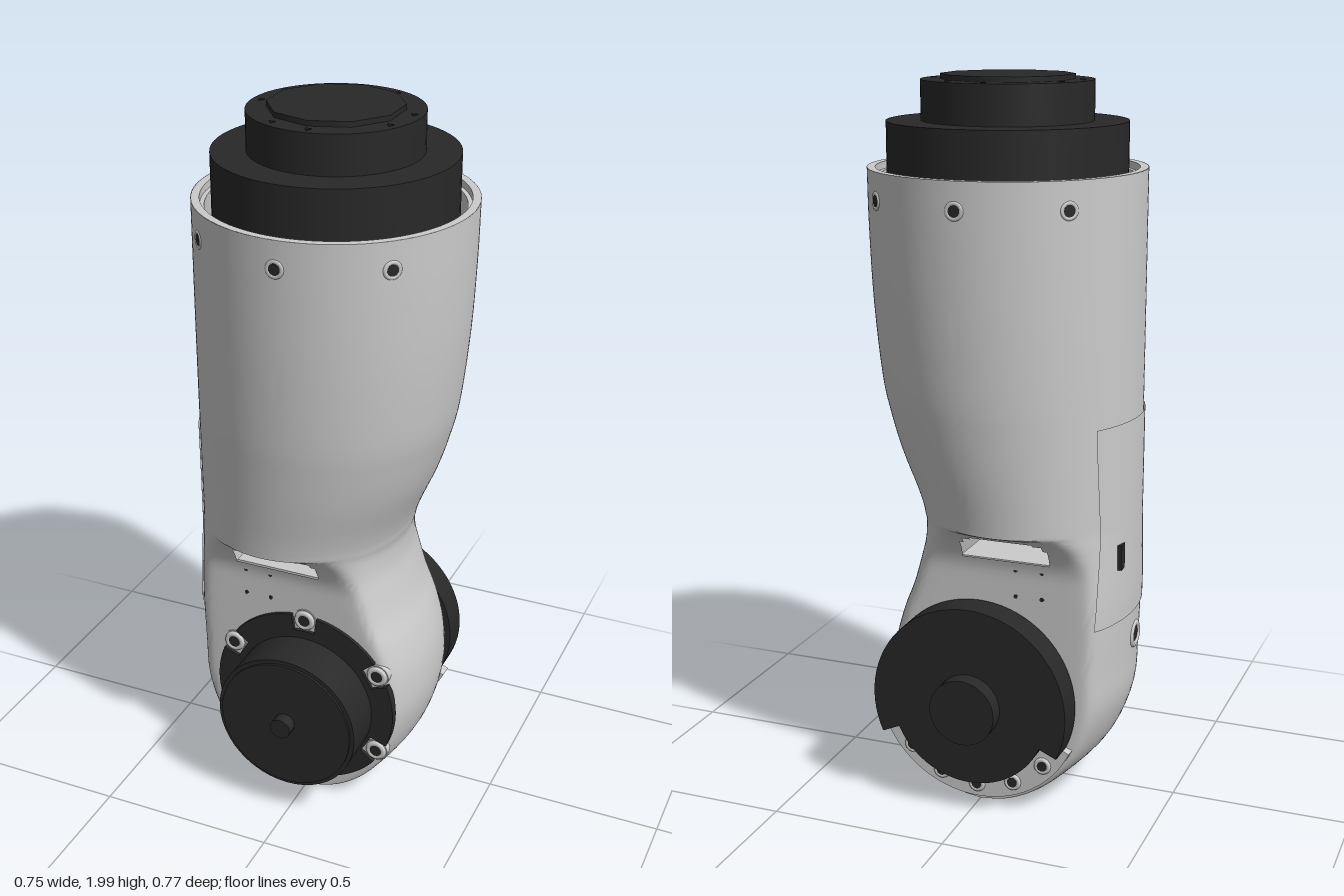
import * as THREE from 'three';
import { toCreasedNormals } from 'three/addons/utils/BufferGeometryUtils.js';

const ZC = -0.006;   // depth centre of the casing
const PY = 0.328;    // height of the pivot axis

// Casing sections: height, right edge, left edge, half depth
const SECTIONS = [
  [0.01, -0.005, 0.005, 0.42], [0.02, -0.09, 0.08, 0.42], [0.05, -0.172, 0.155, 0.42],
  [0.1, -0.245, 0.22, 0.42], [0.18, -0.315, 0.275, 0.42], [0.3, -0.36, 0.308, 0.42],
  [0.42, -0.368, 0.305, 0.41], [0.52, -0.372, 0.28, 0.4], [0.6, -0.375, 0.25, 0.38],
  [0.68, -0.375, 0.228, 0.36], [0.73, -0.375, 0.217, 0.345], [0.77, -0.375, 0.214, 0.335],
  [0.8, -0.375, 0.215, 0.33], [0.82, -0.375, 0.22, 0.328], [0.85, -0.375, 0.227, 0.33],
  [0.9, -0.375, 0.245, 0.335], [1.0, -0.375, 0.287, 0.347], [1.1, -0.375, 0.318, 0.357],
  [1.2, -0.375, 0.34, 0.365], [1.4, -0.375, 0.361, 0.372], [1.6, -0.375, 0.371, 0.374],
  [1.76, -0.375, 0.374, 0.374],
];
const edges = new THREE.CatmullRomCurve3(SECTIONS.map(s => new THREE.Vector3(s[1], s[0], s[2])), false, 'catmullrom');
const depths = new THREE.CatmullRomCurve3(SECTIONS.map(s => new THREE.Vector3(s[3], s[0], 0)), false, 'catmullrom');

// Depth limit: flat cheeks at the joint, flaring through a fillet to the sleeve
function depthLimit(y) {
  if (y > 0.8205) return 5;
  const t = THREE.MathUtils.clamp((y - 0.68) / 0.14, 0, 1);
  return 0.216 + 0.114 * (1 - Math.sqrt(1 - t * t));
}

function casingPoint(t, angle, grow) {
  const e = edges.getPoint(t), lim = depthLimit(e.y) + grow;
  const z = (depths.getPoint(t).x + grow) * Math.sin(angle);
  const soft = z / Math.pow(1 + Math.pow(Math.abs(z) / lim, 14), 1 / 14);
  return [(e.x + e.z) / 2 + ((e.z - e.x) / 2 + grow) * Math.cos(angle), e.y, ZC + soft];
}

// Grid over the casing surface; skip(y, degrees) leaves openings
function casingSurface(t0, t1, a0, a1, rows, cols, grow, skip) {
  const pos = [], index = [], w = cols + 1;
  for (let i = 0; i <= rows; i++) for (let j = 0; j <= cols; j++)
    pos.push(...casingPoint(t0 + (t1 - t0) * i / rows, THREE.MathUtils.degToRad(a0 + (a1 - a0) * j / cols), grow));
  for (let i = 0; i < rows; i++) for (let j = 0; j < cols; j++) {
    const a = i * w + j, y = (pos[a * 3 + 1] + pos[(a + w) * 3 + 1]) / 2;
    if (skip && skip(y, a0 + (a1 - a0) * (j + 0.5) / cols)) continue;
    index.push(a, a + w, a + 1, a + 1, a + w, a + w + 1);
  }
  const g = new THREE.BufferGeometry();
  g.setAttribute('position', new THREE.Float32BufferAttribute(pos, 3));
  g.setIndex(index);
  return toCreasedNormals(g, 0.6);
}

export function createModel() {
  const root = new THREE.Group();
  const grey = new THREE.MeshStandardMaterial({ color: 0xcccccc });
  const shell = new THREE.MeshStandardMaterial({ color: 0xcccccc, side: THREE.DoubleSide });
  const dark = new THREE.MeshStandardMaterial({ color: 0x282828 });

  const add = (name, geo, mat, x = 0, y = 0, z = 0) => {
    const m = new THREE.Mesh(geo, mat);
    m.name = name;
    m.position.set(x, y, z);
    root.add(m);
    return m;
  };
  // Upright cylinder between two heights
  const upright = (name, r, y0, y1, mat, seg = 64) =>
    add(name, new THREE.CylinderGeometry(r, r, y1 - y0, seg), mat, 0, (y0 + y1) / 2, ZC);
  // Cylinder along z between two depths
  const axial = (name, r, z0, z1, mat, x = 0, y = PY, seg = 48) => {
    const g = new THREE.CylinderGeometry(r, r, Math.abs(z1 - z0), seg).rotateX(Math.PI / 2);
    return add(name, g, mat, x, y, (z0 + z1) / 2);
  };
  // Screw head with a dark socket, facing along dir
  const screw = (name, r, p, dir) => {
    const s = new THREE.Group();
    s.name = name;
    s.add(new THREE.Mesh(new THREE.TorusGeometry(r * 0.75, r * 0.28, 8, 24), grey));
    s.add(new THREE.Mesh(new THREE.CylinderGeometry(r * 0.6, r * 0.6, 0.012, 20).rotateX(Math.PI / 2), dark));
    s.position.copy(p);
    s.lookAt(p.clone().add(dir));
    root.add(s);
  };
  const extrude = (shape, depth) => new THREE.ExtrudeGeometry(shape, { depth, bevelEnabled: false, curveSegments: 24 });

  // Casing with a see-through window above the joint
  const inWindow = (y, deg) => {
    const half = y > 0.793 ? 17.5 : y > 0.782 ? 22.5 : 25;
    return y > 0.73 && y < 0.8 && Math.abs((deg % 180) - 90) < half;
  };
  add('casing', casingSurface(0, 1, 0, 360, (SECTIONS.length - 1) * 4, 144, 0, inWindow), shell);
  add('windowSill', new THREE.BoxGeometry(0.26, 0.01, 0.43), grey, -0.077, 0.725, ZC);

  // Side access cover with its slot and cable hole
  const last = SECTIONS.length - 1;
  add('accessCover', casingSurface(7.4 / last, 17.1 / last, 147, 213, 40, 24, 0.004), shell);
  add('coverSlot', new THREE.BoxGeometry(0.02, 0.07, 0.03), dark, -0.362, 0.74, -0.11);
  screw('cableHole', 0.04, new THREE.Vector3(-0.366, 0.47, 0.02), new THREE.Vector3(-1, 0, 0));

  // Sleeve rim and inner wall
  const rim = [[0.34, 1.62], [0.34, 1.74], [0.352, 1.74], [0.352, 1.76], [0.374, 1.76]]
    .map(p => new THREE.Vector2(...p));
  add('sleeveRim', toCreasedNormals(new THREE.LatheGeometry(rim, 72), 0.5), shell, 0, 0, ZC);

  // Stepped drive at the top
  upright('driveFloor', 0.345, 1.6, 1.65, dark);
  upright('driveHousing', 0.322, 1.62, 1.88, dark);
  upright('driveFlange', 0.23, 1.88, 1.986, dark);
  upright('driveOutput', 0.178, 1.98, 2.0, dark, 10);
  for (let k = 0; k < 8; k++) {
    const a = Math.PI * (Math.floor(k / 2) / 2 + (k % 2 ? 0.085 : -0.085)) + 0.2;
    add('flangeBolt', new THREE.CylinderGeometry(0.01, 0.01, 0.004, 3), dark,
      0.205 * Math.cos(a), 1.987, ZC + 0.205 * Math.sin(a));
  }

  // Screws around the sleeve
  for (const deg of [45, 90, 135, 225, 270, 315]) {
    const a = THREE.MathUtils.degToRad(deg), d = new THREE.Vector3(Math.cos(a), 0, Math.sin(a));
    screw('sleeveScrew', 0.026, d.clone().multiplyScalar(0.37).add(new THREE.Vector3(0, 1.685, ZC)), d);
  }

  // Front motor: notched plate, six screws, drum and shaft
  const plate = new THREE.Shape();
  const step = Math.PI / 3, gap = 0.14;
  for (let k = 0; k < 6; k++) {
    const a = Math.PI / 2 + k * step;
    plate.absarc(0, 0, 0.272, a + gap, a + step - gap, false);
    plate.absarc(0, 0, 0.222, a + step - gap, a + step + gap, false);
    const x = 0.255 * Math.cos(a), y = PY + 0.255 * Math.sin(a);
    axial('motorLug', 0.034, 0.19, 0.213, grey, x, y, 24);
    screw('motorScrew', 0.03, new THREE.Vector3(x, y, 0.213), new THREE.Vector3(0, 0, 1));
  }
  add('motorPlate', extrude(plate, 0.025), dark, 0, PY, 0.195);
  axial('motorDrum', 0.208, 0.2, 0.345, dark, 0, 0.318);
  axial('motorCap', 0.196, 0.345, 0.352, dark, 0, 0.318);
  axial('motorShaft', 0.03, 0.35, 0.385, dark, 0, 0.325, 24);

  // Small pilot holes above the motor
  for (const [x, y] of [[-0.18, 0.705], [-0.105, 0.705], [-0.18, 0.63], [-0.105, 0.63]])
    for (const z of [0.208, -0.22]) axial('pilotHole', 0.006, z - 0.004, z + 0.004, dark, x, y, 10);

  // Rear rotor: wide above, cut back below, with a hub
  const rotor = new THREE.Shape();
  rotor.absarc(0, 0, 0.28, -0.42, Math.PI + 0.42, false);
  rotor.absarc(0, 0, 0.226, Math.PI + 0.42, Math.PI * 2 - 0.42, false);
  add('rearRotor', extrude(rotor, 0.085), dark, 0, PY, -0.313);
  axial('rearRotorCore', 0.22, -0.2, -0.24, dark);
  axial('rearHub', 0.093, -0.31, -0.36, dark);

  // Rear flange arc with its screws
  const flange = new THREE.Shape();
  flange.absarc(0, 0, 0.298, Math.PI + 0.44, Math.PI * 2 - 0.44, false);
  flange.absarc(0, 0, 0.2, Math.PI * 2 - 0.44, Math.PI + 0.44, true);
  add('rearFlange', extrude(flange, 0.04), grey, 0, PY, -0.248);
  for (let k = -2; k <= 2; k++) {
    const a = -Math.PI / 2 + k * 0.42;
    screw('flangeScrew', 0.024, new THREE.Vector3(0.26 * Math.cos(a), PY + 0.26 * Math.sin(a), -0.248),
      new THREE.Vector3(0, 0, -1));
  }
  return root;
}
